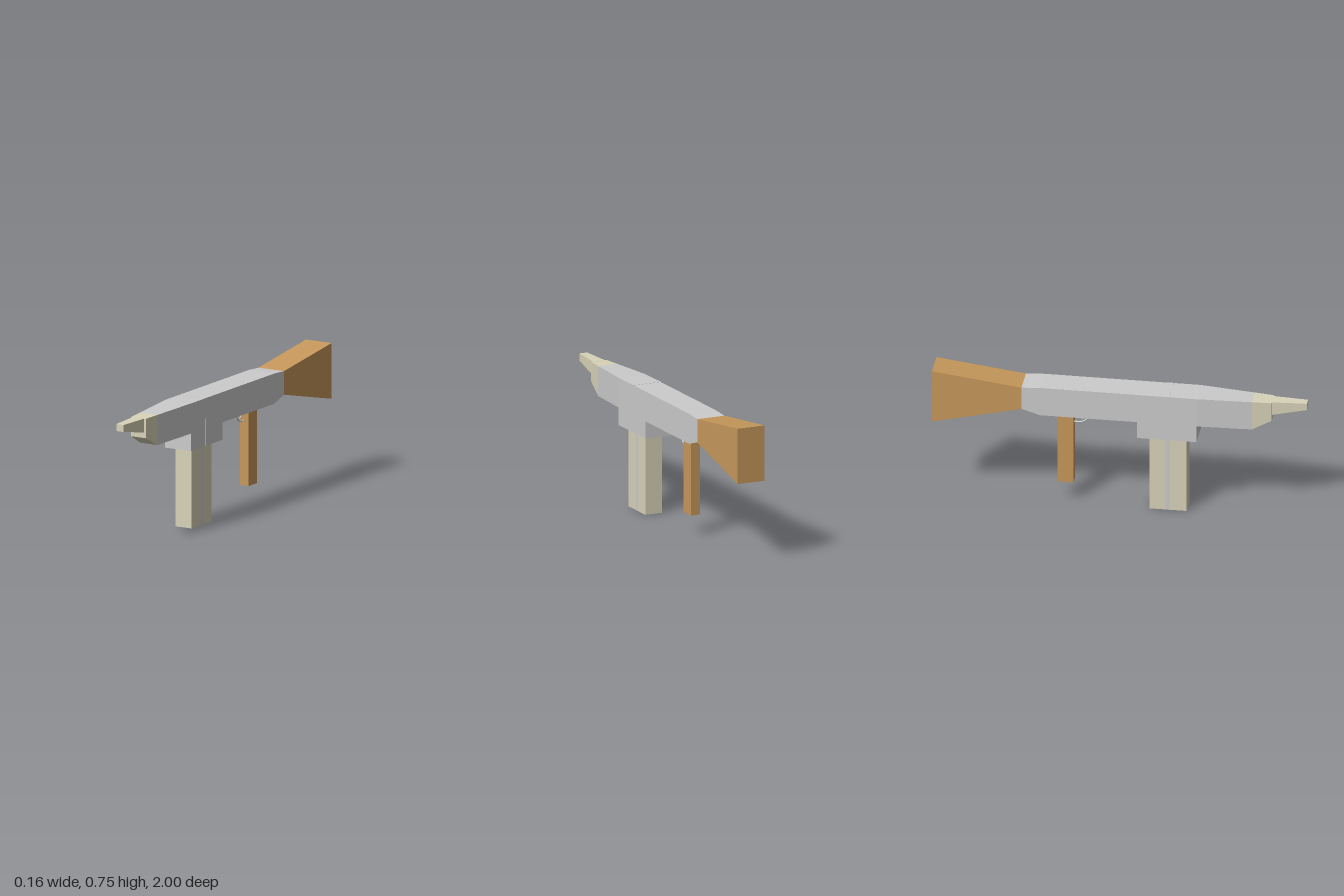
import * as THREE from 'three';

const paint = (color) => new THREE.MeshStandardMaterial({ color, flatShading: true });

// Loft through rectangular sections [z, halfWidth, bottom, top], listed front to back
function loft(sections) {
  const pos = [], idx = [];
  for (const [z, w, y0, y1] of sections) {
    pos.push(-w, y0, z, w, y0, z, w, y1, z, -w, y1, z);
  }
  for (let s = 0; s < sections.length - 1; s++) {
    for (let k = 0; k < 4; k++) {
      const a = s * 4 + k, b = s * 4 + (k + 1) % 4;
      idx.push(a, a + 4, b, b, a + 4, b + 4);
    }
  }
  const e = (sections.length - 1) * 4;
  idx.push(0, 1, 2, 0, 2, 3, e, e + 2, e + 1, e, e + 3, e + 2);
  const g = new THREE.BufferGeometry();
  g.setAttribute('position', new THREE.Float32BufferAttribute(pos, 3));
  g.setIndex(idx);
  const flat = g.toNonIndexed();
  flat.computeVertexNormals();
  return flat;
}

// Straight block between two z values
const block = (zFront, zBack, w, y0, y1) => loft([[zFront, w, y0, y1], [zBack, w, y0, y1]]);

// Thin round wire through [y, z] points in the centre plane
function wire(points, radius) {
  const curve = new THREE.CatmullRomCurve3(points.map(([y, z]) => new THREE.Vector3(0, y, z)));
  return new THREE.TubeGeometry(curve, 20, radius, 6);
}

export function createModel() {
  const group = new THREE.Group();
  const metal = paint(0xcccccc);
  const light = paint(0xf8f8f8);
  const tan = paint(0xd9d3b9);
  const wood = paint(0xc6985b);
  const add = (name, geometry, material) => {
    const mesh = new THREE.Mesh(geometry, material);
    mesh.name = name;
    group.add(mesh);
    return mesh;
  };

  // Main body with tapering front
  add('body', loft([
    [0.71, 0.055, 0.522, 0.686],
    [0.42, 0.08, 0.53, 0.694],
    [-0.42, 0.08, 0.53, 0.694],
    [-0.52, 0.08, 0.56, 0.688],
  ]), metal);
  add('magazineHousing', block(0.417, 0.1, 0.08, 0.435, 0.531), metal);

  // Nose and muzzle
  add('nose', loft([[0.815, 0.046, 0.578, 0.683], [0.71, 0.055, 0.522, 0.686]]), tan);
  add('muzzle', loft([[1, 0.023, 0.645, 0.683], [0.81, 0.036, 0.607, 0.6835]]), tan);

  // Magazine with a light stripe
  add('magazine', block(0.36, 0.16, 0.05, 0, 0.436), tan);
  add('magazineStripe', block(0.27, 0.245, 0.0508, 0, 0.436), light);

  // Light band over the body and matching side panels
  add('bodyBand', block(0.272, 0.237, 0.0808, 0.435, 0.695), light);
  for (const side of [-1, 1]) {
    const panel = add('sidePanel', new THREE.BoxGeometry(0.001, 0.109, 0.145), light);
    panel.position.set(side * 0.0803, 0.6395, 0.3445);
  }

  // Shoulder stock and grip
  add('stock', loft([[-0.52, 0.08, 0.56, 0.688], [-1, 0.08, 0.445, 0.748]]), wood);
  add('grip', block(-0.25, -0.335, 0.027, 0.11, 0.535), wood);

  // Trigger and guard
  add('triggerGuard', wire([
    [0.532, -0.172], [0.505, -0.17], [0.478, -0.187], [0.465, -0.215], [0.465, -0.253],
  ], 0.004), metal);
  add('trigger', wire([[0.532, -0.228], [0.508, -0.224], [0.482, -0.205]], 0.004), metal);

  return group;
}
